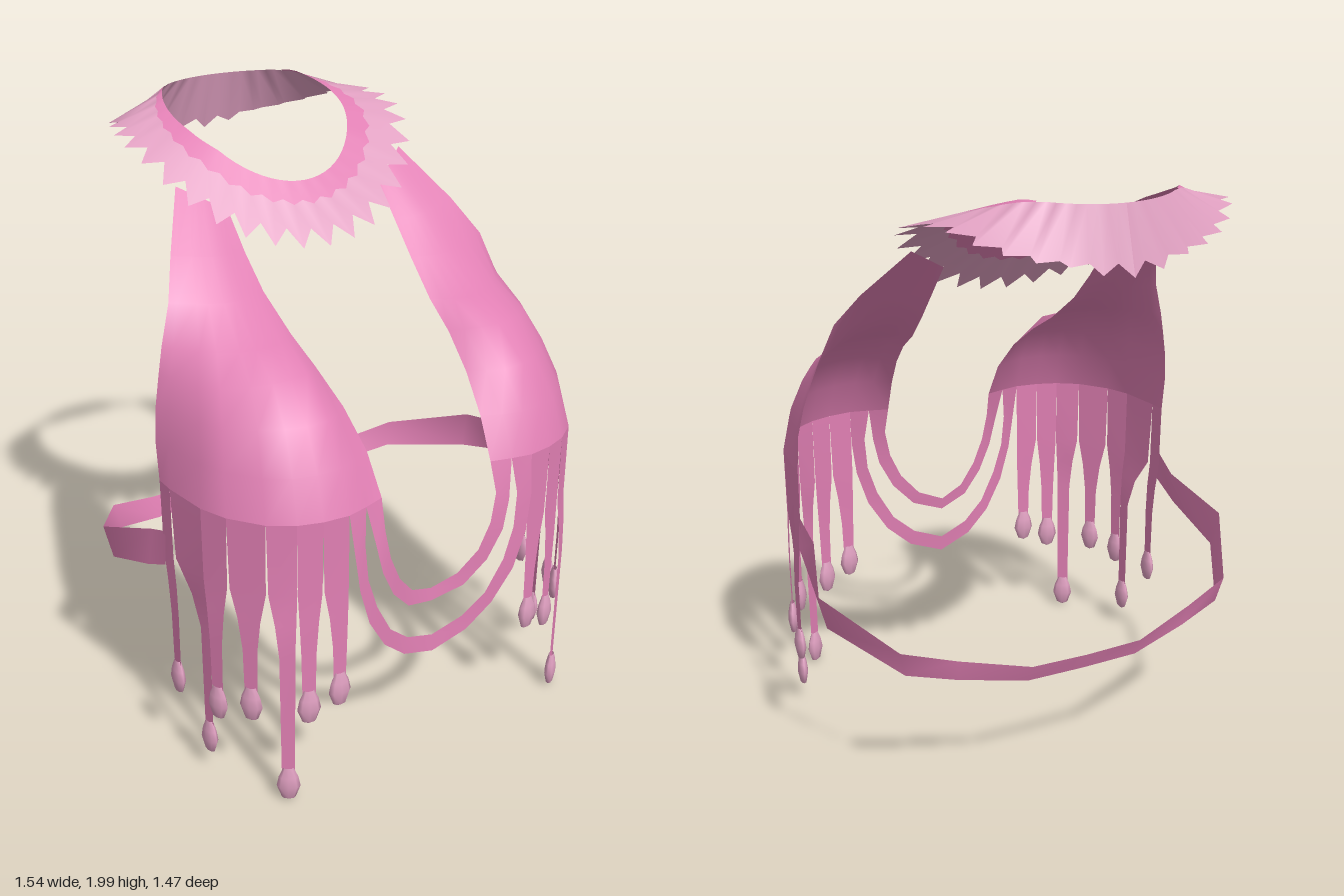
import * as THREE from 'three';

const pink = new THREE.MeshStandardMaterial({ name: 'pink cloth', color: 0xe07fb3, side: THREE.DoubleSide });
const pale = new THREE.MeshStandardMaterial({ name: 'pale pink trim', color: 0xdf9fc0, side: THREE.DoubleSide });

// Open sheet through rows of [x, y, z] points
function sheet(name, rows, material) {
  const w = rows[0].length, index = [];
  for (let r = 0; r < rows.length - 1; r++) {
    for (let c = 0; c < w - 1; c++) {
      const a = r * w + c, b = a + 1, d = a + w, e = d + 1;
      index.push(a, d, b, b, d, e);
    }
  }
  const g = new THREE.BufferGeometry();
  g.setAttribute('position', new THREE.Float32BufferAttribute(rows.flat(2), 3));
  g.setIndex(index);
  g.computeVertexNormals();
  const m = new THREE.Mesh(g, material);
  m.name = name;
  return m;
}

// Mirror rows in x, reversing them so the outside stays outside
const side = (rows, s) => s > 0 ? rows : rows.map(r => r.map(([x, y, z]) => [-x, y, z]).reverse());
const mix = (a, b, t) => a.map((v, i) => v + (b[i] - v) * t);

// Piecewise linear lookup in a list of [position, value]
function lookup(table, v) {
  let i = 0;
  while (i < table.length - 2 && v > table[i + 1][0]) i++;
  const [a, p] = table[i], [b, q] = table[i + 1];
  return p + (q - p) * (v - a) / (b - a);
}

// Tilted neck ring with pointed outer edge and scalloped inner band
function collar() {
  const g = new THREE.Group();
  g.name = 'collar';
  const innerY = [[-0.68, 1.99], [-0.55, 2], [-0.4, 1.955], [-0.3, 1.92], [-0.2, 1.87], [-0.075, 1.76]];
  const outerY = [[-0.74, 1.79], [-0.72, 1.83], [-0.6, 1.88], [-0.5, 1.925], [-0.4, 1.925],
    [-0.3, 1.9], [-0.2, 1.85], [-0.1, 1.76], [0, 1.66], [0.08, 1.58]];
  const teeth = 34, band = [], trim = [];
  for (let i = -teeth; i <= teeth; i++) {
    const t = i * Math.PI / teeth, s = Math.sin(t), c = Math.cos(t), tip = i % 2 === 0;
    const zi = -0.378 + 0.303 * c;
    const zo = tip ? -0.33 + 0.41 * c : -0.345 + 0.375 * c;
    const inner = [0.31 * s, lookup(innerY, zi), zi];
    const outer = [(tip ? 0.53 : 0.465) * s, lookup(outerY, zo), zo];
    const width = Math.min(1, Math.max(0, (2.4 - Math.abs(t)) / 1.2));
    const edge = mix(inner, outer, (tip ? 0.36 : 0.4) * width);
    if (width > 0) band.push([edge, inner]);
    trim.push([outer, edge]);
  }
  g.add(sheet('collarBand', band, pink), sheet('collarTrim', trim, pale));
  return g;
}

// Points along the lower panel edge (y = 1) where the strands part
const hem = [[0.21, 0.67], [0.28, 0.69], [0.35, 0.705], [0.435, 0.695], [0.51, 0.67], [0.585, 0.62],
  [0.66, 0.52], [0.695, 0.43], [0.715, 0.275], [0.715, 0.21]].map(([x, z]) => [x, 1, z]);

// Draped front panel from collar to hem
function panel(s) {
  const sections = [
    [[0.29, 1.71, -0.07], [0.35, 1.745, -0.1], [0.43, 1.79, -0.15]],
    [[0.29, 1.6, 0.03], [0.4, 1.61, 0.04], [0.54, 1.63, 0.01]],
    [[0.285, 1.5, 0.13], [0.42, 1.5, 0.155], [0.6, 1.52, 0.1]],
    [[0.268, 1.4, 0.26], [0.34, 1.4, 0.31], [0.45, 1.4, 0.31], [0.56, 1.4, 0.24], [0.645, 1.4, 0.13]],
    [[0.255, 1.33, 0.38], [0.33, 1.35, 0.45], [0.46, 1.35, 0.45], [0.6, 1.33, 0.34], [0.67, 1.32, 0.15]],
    [[0.235, 1.24, 0.5], [0.33, 1.25, 0.57], [0.48, 1.25, 0.55], [0.62, 1.24, 0.42], [0.695, 1.23, 0.17]],
    [[0.218, 1.13, 0.6], [0.33, 1.13, 0.65], [0.5, 1.13, 0.625], [0.65, 1.13, 0.47], [0.712, 1.13, 0.19]],
  ];
  const line = p => new THREE.CatmullRomCurve3(p.map(v => new THREE.Vector3(...v)));
  // Share the hem's spacing between all sections
  const lengths = [0];
  for (let i = 1; i < hem.length; i++)
    lengths.push(lengths[i - 1] + Math.hypot(hem[i][0] - hem[i - 1][0], hem[i][2] - hem[i - 1][2]));
  const us = lengths.map(l => l / lengths[hem.length - 1]);
  const rows = sections.map(p => us.map(u => line(p).getPointAt(u).toArray()));
  rows.push(hem);
  return sheet('frontPanel', side(rows, s), pink);
}

// Hanging strands: tip x, tip y, tip z
const strands = [[0.38, 0.33, 0.705], [0.48, 0.29, 0.685], [0.548, 0.01, 0.67], [0.622, 0.29, 0.575],
  [0.685, 0.26, 0.477], [0.682, 0.08, 0.407], [0.722, 0.255, 0.283]];
const beadProfile = [[0, 0], [0.022, 0.01], [0.038, 0.055], [0.031, 0.09], [0.016, 0.125]]
  .map(p => new THREE.Vector2(...p));

function fringe(s) {
  const g = new THREE.Group();
  g.name = 'fringe';
  strands.forEach(([x, y, z], i) => {
    const a = hem[i + 2], b = hem[i + 3];
    const dx = b[0] - a[0], dz = b[2] - a[2], len = Math.hypot(dx, dz);
    const tx = dx / len, tz = dz / len;
    const tipRow = (py, w) => [[x - tx * w, py, z - tz * w], [x + tx * w, py, z + tz * w]];
    const drop = (p, py) => [p[0], py, p[2]];
    const low = tipRow(0.6, 0.026);
    const rows = [[a, b],
      [mix(drop(a, 0.76), drop(low[0], 0.76), 0.12), mix(drop(b, 0.76), drop(low[1], 0.76), 0.12)],
      [mix(drop(a, 0.66), drop(low[0], 0.66), 0.7), mix(drop(b, 0.66), drop(low[1], 0.66), 0.7)],
      tipRow(0.55, 0.024), tipRow(y + 0.1, 0.021)];
    g.add(sheet('strand', side(rows, s), pink));
    // Flattened bead at the strand's end
    const bead = new THREE.Mesh(new THREE.LatheGeometry(beadProfile, 8), pale);
    bead.name = 'bead';
    bead.scale.z = 0.5;
    bead.position.set(x * s, y, z);
    bead.rotation.y = Math.atan2(-tz * s, tx);
    g.add(bead);
  });
  return g;
}

// Ribbon given for the left half and mirrored through the middle
function mirroredRibbon(name, half) {
  const other = half.slice(0, -1).reverse().map(r => r.map(([x, y, z]) => [-x, y, z]));
  return sheet(name, [...half, ...other], pink);
}

export function createModel() {
  const model = new THREE.Group();
  model.name = 'fringedTop';
  model.add(collar());
  for (const s of [1, -1]) model.add(panel(s), fringe(s));

  // Two swags between the panels: inner edge and outer edge
  model.add(mirroredRibbon('upperSwag', [
    [hem[0], hem[1]],
    [[0.215, 0.9, 0.7], [0.258, 0.87, 0.715]],
    [[0.195, 0.8, 0.705], [0.235, 0.77, 0.72]],
    [[0.155, 0.71, 0.7], [0.185, 0.67, 0.71]],
    [[0.09, 0.635, 0.68], [0.11, 0.59, 0.69]],
    [[0, 0.6, 0.66], [0, 0.555, 0.665]],
  ]));
  model.add(mirroredRibbon('lowerSwag', [
    [hem[1], hem[2]],
    [[0.295, 0.88, 0.71], [0.342, 0.87, 0.725]],
    [[0.285, 0.76, 0.715], [0.325, 0.74, 0.73]],
    [[0.25, 0.65, 0.715], [0.285, 0.61, 0.725]],
    [[0.19, 0.54, 0.705], [0.215, 0.495, 0.71]],
    [[0.11, 0.47, 0.69], [0.125, 0.415, 0.695]],
    [[0, 0.43, 0.675], [0, 0.37, 0.68]],
  ]));

  // Strap round the back: top edge and bottom edge
  model.add(mirroredRibbon('backStrap', [
    [[0.715, 0.83, 0.23], [0.72, 0.71, 0.23]],
    [[0.705, 0.775, 0.11], [0.725, 0.655, 0.12]],
    [[0.77, 0.69, -0.12], [0.745, 0.57, -0.11]],
    [[0.605, 0.585, -0.4], [0.585, 0.495, -0.385]],
    [[0.43, 0.54, -0.45], [0.42, 0.46, -0.43]],
    [[0.2, 0.495, -0.515], [0.2, 0.43, -0.485]],
    [[0, 0.49, -0.515], [0, 0.43, -0.49]],
  ]));
  return model;
}
